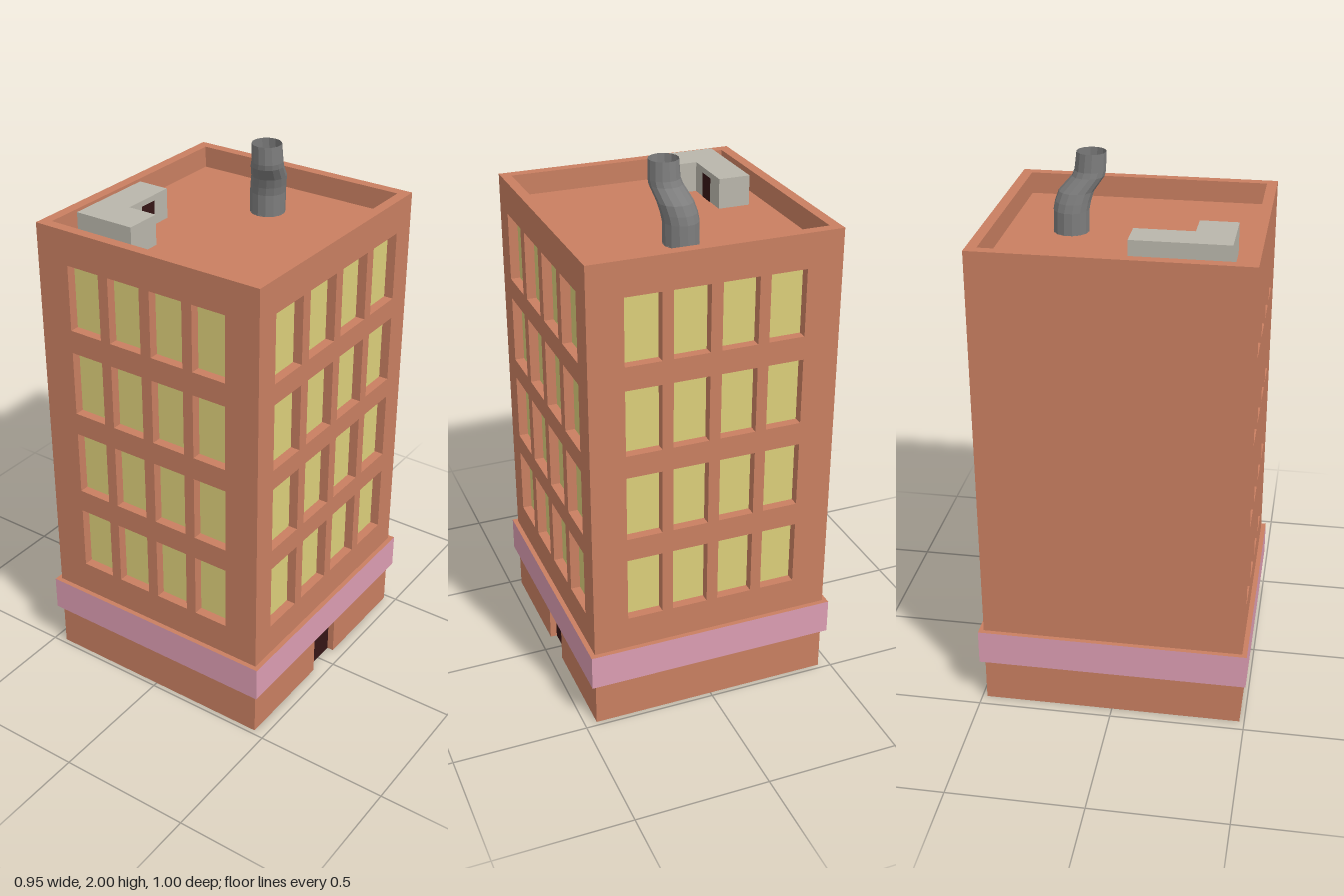
import * as THREE from 'three';

const mat = (color, extra = {}) => new THREE.MeshStandardMaterial({ color, ...extra });
const brick = mat(0xc97f61);
const glass = mat(0xdccf7a);
const pink = mat(0xdc9db2);
const dark = mat(0x351515);
const concrete = mat(0xb9b6ab);
const metal = mat(0x7d7d7d, { flatShading: true, side: THREE.DoubleSide });

const HX = 0.455, HZ = 0.482, HEIGHT = 1.8, WALL = 0.038, ROOF = 1.72;
const ROWS = [0.553, 0.886, 1.217, 1.55];

function mesh(name, geometry, material, x = 0, y = 0, z = 0) {
  const m = new THREE.Mesh(geometry, material);
  m.name = name;
  m.position.set(x, y, z);
  return m;
}

// One wall with window openings and recessed panes; local z = 0 is its inner face
function facade(name, half, columns, w, h, door) {
  const g = new THREE.Group();
  g.name = name;
  const s = new THREE.Shape();
  s.moveTo(-half, 0);
  if (door) {
    s.lineTo(-door.w / 2, 0);
    s.lineTo(-door.w / 2, door.h);
    s.lineTo(door.w / 2, door.h);
    s.lineTo(door.w / 2, 0);
    g.add(mesh('entranceDoor', new THREE.PlaneGeometry(door.w, door.h), dark, 0, door.h / 2, 0.013));
  }
  s.lineTo(half, 0);
  s.lineTo(half, HEIGHT);
  s.lineTo(-half, HEIGHT);
  s.closePath();
  for (const x of columns) for (const y of ROWS) {
    const hole = new THREE.Path();
    hole.moveTo(x - w / 2, y - h / 2);
    hole.lineTo(x - w / 2, y + h / 2);
    hole.lineTo(x + w / 2, y + h / 2);
    hole.lineTo(x + w / 2, y - h / 2);
    hole.closePath();
    s.holes.push(hole);
    g.add(mesh('windowPane', new THREE.PlaneGeometry(w, h), glass, x, y, 0.003));
  }
  g.add(mesh('wall', new THREE.ExtrudeGeometry(s, { depth: WALL, bevelEnabled: false }), brick));
  return g;
}

// Bent chimney skinned over rings of [x, y, z, radius]
function chimneyGeometry(rings, sides) {
  const pos = [], index = [];
  rings.forEach(([x, y, z, r], i) => {
    for (let j = 0; j < sides; j++) {
      const a = (j / sides) * Math.PI * 2;
      pos.push(x + r * Math.sin(a), y, z + r * Math.cos(a));
      if (i === 0) continue;
      const k = (j + 1) % sides, lo = (i - 1) * sides, hi = i * sides;
      index.push(lo + j, lo + k, hi + k, lo + j, hi + k, hi + j);
    }
  });
  const g = new THREE.BufferGeometry();
  g.setAttribute('position', new THREE.Float32BufferAttribute(pos, 3));
  g.setIndex(index);
  g.computeVertexNormals();
  return g;
}

export function createModel() {
  const model = new THREE.Group();
  model.name = 'apartmentBuilding';

  // Solid core up to the sunken roof
  model.add(mesh('coreAndRoof', new THREE.BoxGeometry(2 * (HX - WALL), ROOF, 2 * (HZ - WALL)), brick, 0, ROOF / 2, 0));

  // Walls, rising past the roof as a parapet
  const narrow = [-0.26, -0.088, 0.086, 0.258];
  const wide = [-0.307, -0.102, 0.102, 0.305];
  const front = facade('frontWall', HX, narrow, 0.132, 0.246);
  front.position.z = HZ - WALL;
  const back = facade('backWall', HX, narrow, 0.132, 0.246);
  back.rotation.y = Math.PI;
  back.position.z = -(HZ - WALL);
  const entrance = facade('entranceWall', HZ - WALL, wide, 0.162, 0.255, { w: 0.145, h: 0.156 });
  entrance.rotation.y = Math.PI / 2;
  entrance.position.x = HX - WALL;
  const blank = facade('blankWall', HZ - WALL, [], 0, 0);
  blank.rotation.y = -Math.PI / 2;
  blank.position.x = -(HX - WALL);
  model.add(front, back, entrance, blank);

  // Painted band with brick ledges above and below
  model.add(mesh('band', new THREE.BoxGeometry(0.946, 0.133, 1),
    [pink, pink, brick, brick, pink, pink], 0, 0.239, 0));

  // L-shaped stair hut with its door
  const outline = [[-0.35, 0.045], [-0.35, 0.39], [-0.12, 0.39], [-0.12, 0.255], [-0.232, 0.255], [-0.232, 0.045]];
  const hutShape = new THREE.Shape(outline.map(([x, z]) => new THREE.Vector2(x, -z)));
  const hutGeo = new THREE.ExtrudeGeometry(hutShape, { depth: 0.11, bevelEnabled: false }).rotateX(-Math.PI / 2);
  model.add(mesh('roofHut', hutGeo, concrete, 0, ROOF, 0));
  const hutDoor = mesh('roofHutDoor', new THREE.PlaneGeometry(0.07, 0.09), dark, -0.23, ROOF + 0.045, 0.155);
  hutDoor.rotation.y = Math.PI / 2;
  model.add(hutDoor);

  // Open-topped chimney pipe
  model.add(mesh('chimney', chimneyGeometry([
    [0.021, ROOF, -0.215, 0.064],
    [0.022, 1.8, -0.214, 0.064],
    [0.027, 1.83, -0.209, 0.064],
    [0.036, 1.865, -0.198, 0.063],
    [0.054, 1.915, -0.158, 0.058],
    [0.058, 1.935, -0.152, 0.056],
    [0.058, 2, -0.147, 0.053],
  ], 14), metal));
  const base = mesh('chimneyBase', new THREE.CircleGeometry(0.064, 14), metal, 0.021, ROOF + 0.003, -0.215);
  base.rotation.x = -Math.PI / 2;
  model.add(base);

  return model;
}
